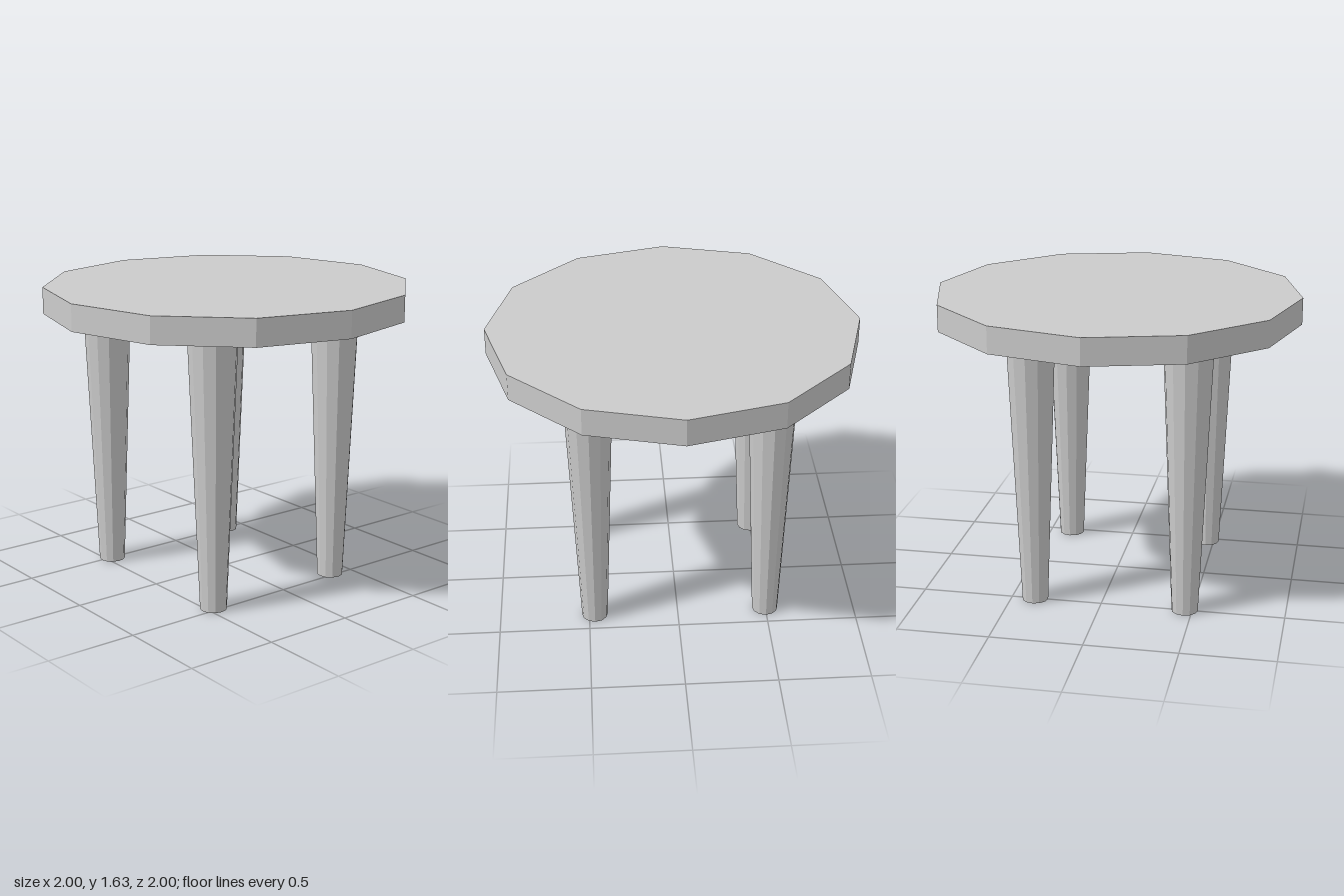
import * as THREE from 'three';

export function createModel() {
  const group = new THREE.Group();
  const material = new THREE.MeshStandardMaterial({ color: 0xcccccc, flatShading: true });

  const add = (name, geometry, x, y, z) => {
    const mesh = new THREE.Mesh(geometry, material);
    mesh.name = name;
    mesh.position.set(x, y, z);
    group.add(mesh);
  };

  // Twelve-sided slab top
  const underside = 1.49, top = 1.635;
  add('tableTop', new THREE.CylinderGeometry(1, 1, top - underside, 12), 0, (top + underside) / 2, 0);

  // Four tapered legs, set slightly off centre
  const leg = new THREE.CylinderGeometry(0.132, 0.072, underside, 12);
  for (const [side, x] of [['Left', 0.469], ['Right', -0.497]]) {
    for (const [end, z] of [['front', 0.459], ['back', -0.37]]) {
      add(`${end}${side}Leg`, leg, x, underside / 2, z);
    }
  }

  return group;
}
